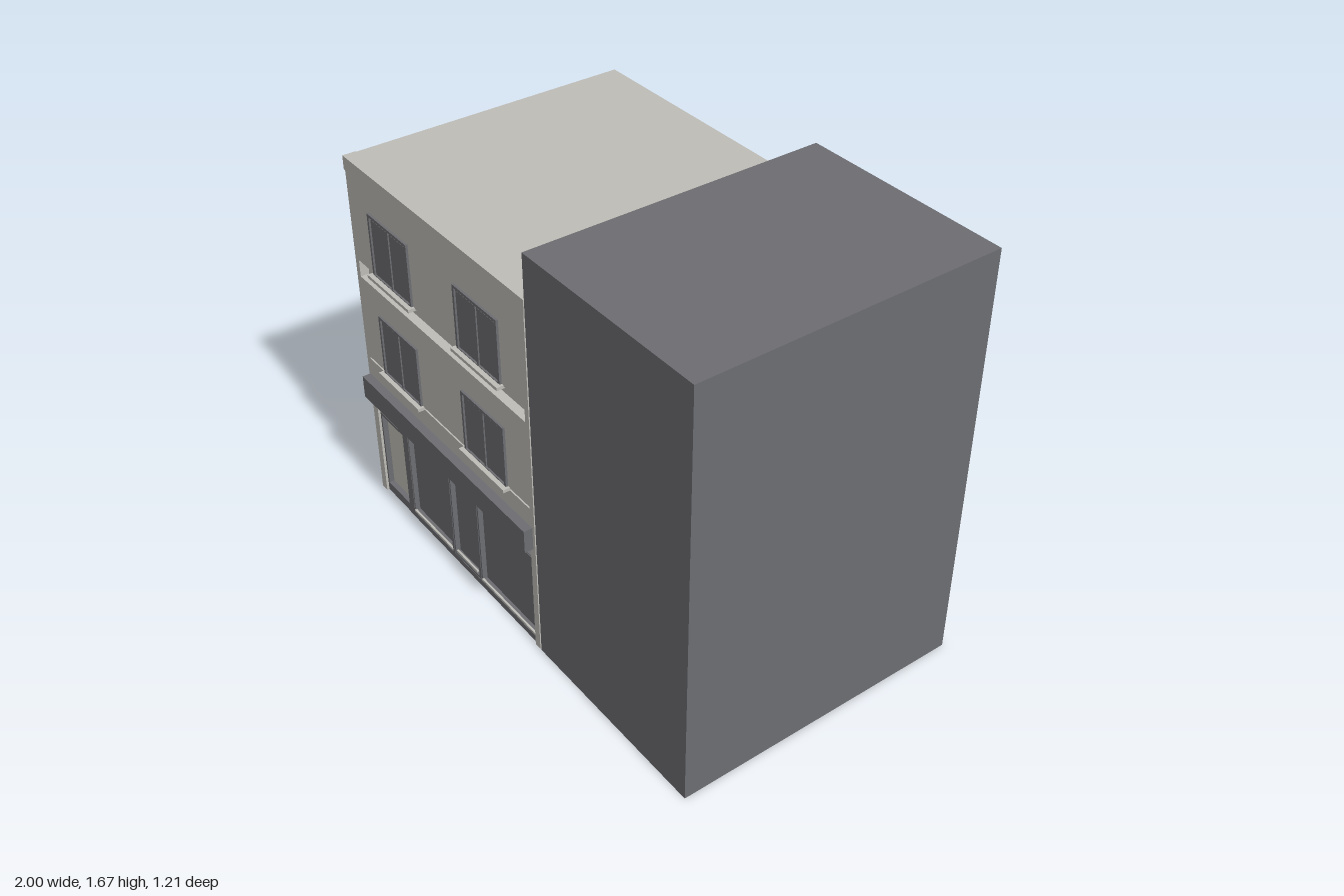
import * as THREE from 'three';

const stone = new THREE.MeshStandardMaterial({ color: 0xbfbdb7 });
stone.name = 'paleStone';
const slate = new THREE.MeshStandardMaterial({ color: 0x6d6e72 });
slate.name = 'slateGrey';
const cream = new THREE.MeshStandardMaterial({ color: 0xc4c1b8 });
cream.name = 'paleCream';

// Box given by its lower and upper bounds on each axis
function block(parent, name, mat, x0, x1, y0, y1, z0, z1) {
  const mesh = new THREE.Mesh(new THREE.BoxGeometry(x1 - x0, y1 - y0, z1 - z0), mat);
  mesh.position.set((x0 + x1) / 2, (y0 + y1) / 2, (z0 + z1) / 2);
  mesh.name = name;
  parent.add(mesh);
  return mesh;
}

function rectangle(target, x0, x1, y0, y1) {
  return target.moveTo(x0, y0).lineTo(x1, y0).lineTo(x1, y1).lineTo(x0, y1).lineTo(x0, y0);
}

// Rectangular frame made of four bars of width w
function frame(parent, name, x0, x1, y0, y1, w, z0, z1) {
  const shape = rectangle(new THREE.Shape(), x0, x1, y0, y1);
  shape.holes.push(rectangle(new THREE.Path(), x0 + w, x1 - w, y0 + w, y1 - w));
  const geo = new THREE.ExtrudeGeometry(shape, { depth: z1 - z0, bevelEnabled: false });
  const mesh = new THREE.Mesh(geo, slate);
  mesh.position.z = z0;
  mesh.name = name;
  parent.add(mesh);
}

// Two-light window with a sill
function sashWindow(parent, x0, y0) {
  const g = new THREE.Group();
  g.name = 'upperWindow';
  const x1 = x0 + 0.27, y1 = y0 + 0.26, mid = (x0 + x1) / 2;
  block(g, 'windowGlass', slate, x0 + 0.005, x1 - 0.005, y0 + 0.005, y1 - 0.005, 0.565, 0.572);
  frame(g, 'windowFrame', x0, x1, y0, y1, 0.011, 0.565, 0.579);
  block(g, 'windowMullion', slate, mid - 0.005, mid + 0.005, y0, y1, 0.565, 0.577);
  block(g, 'windowHead', stone, x0 + 0.012, x1 - 0.012, y1 - 0.018, y1 - 0.012, 0.57, 0.5745);
  block(g, 'windowSill', stone, x0 - 0.01, x1 + 0.01, y0 - 0.005, y0 + 0.008, 0.56, 0.597);
  parent.add(g);
}

function buildShell(parent) {
  const g = new THREE.Group();
  g.name = 'houseShell';
  block(g, 'leftHandWall', stone, -0.995, -0.965, 0, 1.48, -0.605, 0.53);
  block(g, 'rightHandWall', stone, 0.125, 0.153, 0, 1.48, -0.605, 0.53);
  block(g, 'backWall', stone, -0.98, 0.14, 0, 1.48, -0.605, -0.575);
  block(g, 'roof', stone, -0.995, 0.153, 1.47, 1.5, -0.605, 0.55);
  block(g, 'facadeBacking', stone, -0.98, 0.14, 0.47, 1.48, 0.51, 0.535);
  block(g, 'parapet', stone, -1, 0.158, 1.445, 1.5, 0.52, 0.572);

  // Front wall with the shop opening and two horizontal recesses
  const shape = new THREE.Shape();
  [[-0.995, 0], [-0.96, 0], [-0.96, 0.48], [0.123, 0.48], [0.123, 0], [0.153, 0],
    [0.153, 1.49], [-0.995, 1.49]].forEach(([x, y], i) => (i ? shape.lineTo(x, y) : shape.moveTo(x, y)));
  shape.holes.push(rectangle(new THREE.Path(), -0.97, 0.13, 1.012, 1.083));
  shape.holes.push(rectangle(new THREE.Path(), -0.97, 0.13, 0.643, 0.652));
  const geo = new THREE.ExtrudeGeometry(shape, { depth: 0.04, bevelEnabled: false });
  const facade = new THREE.Mesh(geo, stone);
  facade.position.z = 0.53;
  facade.name = 'facade';
  g.add(facade);
  parent.add(g);
}

function buildShopfront(parent) {
  const g = new THREE.Group();
  g.name = 'shopfront';
  // Shop interior block, whose front reads as the glazing
  block(g, 'shopInterior', slate, -0.745, 0.122, 0.004, 0.475, -0.565, 0.54);
  block(g, 'signBoard', slate, -0.985, 0.14, 0.47, 0.565, 0.55, 0.605);
  block(g, 'shopPlinth', slate, -0.785, 0.122, 0, 0.026, 0.53, 0.562);
  block(g, 'dividingPost', slate, -0.785, -0.748, 0, 0.475, 0.52, 0.562);
  block(g, 'shopHead', slate, -0.785, 0.122, 0.453, 0.475, 0.53, 0.562);

  // Display windows and the shop door, each with a panel above
  [[-0.752, -0.454, 0.026], [-0.448, -0.262, 0.026], [-0.256, 0.122, 0.026]].forEach(([x0, x1, y0], i) => {
    const door = i === 1;
    frame(g, door ? 'shopDoorFrame' : 'displayFrame', x0, x1, y0, 0.402, 0.009, 0.535, 0.56);
    frame(g, 'transomFrame', x0, x1, 0.398, 0.458, 0.007, 0.535, 0.558);
    const y = door ? 0.046 : 0.032;
    const inset = door ? 0.02 : 0.006;
    block(g, 'lowerBead', stone, x0 + inset, x1 - inset, y, y + 0.007, 0.555, 0.563);
  });
  [-0.451, -0.259].forEach((x) => block(g, 'shopMullion', slate, x - 0.005, x + 0.005, 0, 0.475, 0.535, 0.562));

  // Side entrance to the passage
  block(g, 'sideDoorPanel', cream, -0.96, -0.782, 0.03, 0.47, 0.53, 0.538);
  frame(g, 'sideDoorFrame', -0.962, -0.78, 0.008, 0.39, 0.011, 0.53, 0.56);
  block(g, 'sideDoorStep', slate, -0.962, -0.78, 0, 0.04, 0.52, 0.56);
  block(g, 'sideDoorTransom', slate, -0.962, -0.78, 0.405, 0.428, 0.53, 0.56);
  parent.add(g);
}

export function createModel() {
  const model = new THREE.Group();
  model.name = 'shopAndNeighbour';
  buildShell(model);
  buildShopfront(model);
  for (const x of [-0.845, -0.273]) for (const y of [0.647, 1.08]) sashWindow(model, x, y);
  // Plain adjoining building
  block(model, 'neighbourBuilding', slate, 0.16, 1, 0, 1.67, -0.605, 0.57);
  return model;
}
